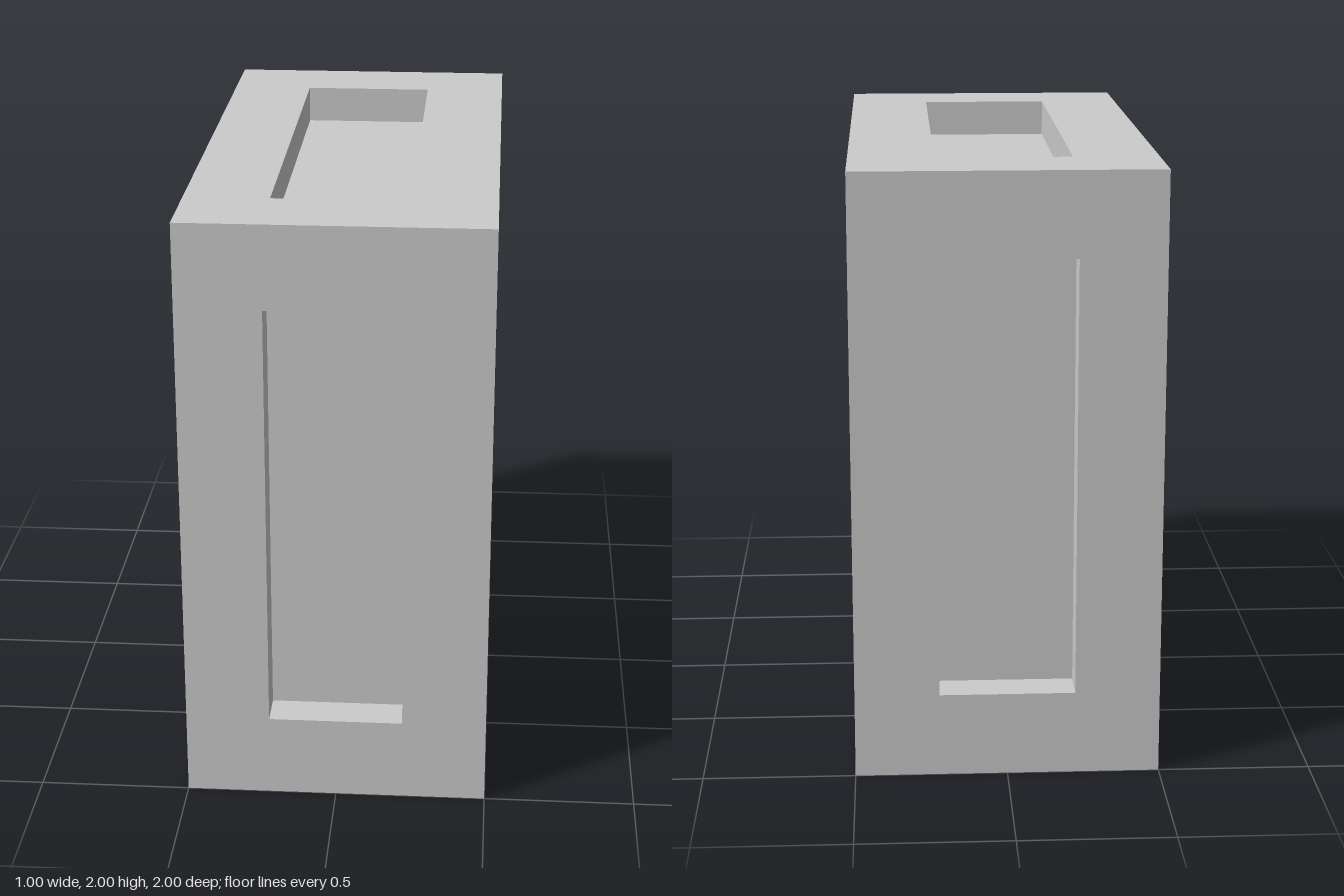
import * as THREE from 'three';
import { mergeGeometries } from 'three/addons/utils/BufferGeometryUtils.js';

const WIDTH = 1, HEIGHT = 2, LENGTH = 2;
const BORDER = 0.278; // frame width around each recess
const DEPTH = 0.125;  // recess depth

// Frame with a sunken rectangular floor, facing +z with its rim on z = 0
function recessedPanel(w, h) {
  const a = w / 2 - BORDER, b = h / 2 - BORDER;
  const rect = (Type, x, y) => new Type([
    new THREE.Vector2(-x, -y), new THREE.Vector2(x, -y),
    new THREE.Vector2(x, y), new THREE.Vector2(-x, y),
  ]);
  const frame = rect(THREE.Shape, w / 2, h / 2);
  frame.holes.push(rect(THREE.Path, a, b));

  const parts = [
    new THREE.ShapeGeometry(frame),
    new THREE.PlaneGeometry(2 * a, 2 * b).translate(0, 0, -DEPTH),
  ];
  // Recess walls, facing inwards
  for (const s of [-1, 1]) {
    parts.push(
      new THREE.PlaneGeometry(DEPTH, 2 * b).rotateY(-s * Math.PI / 2).translate(s * a, 0, -DEPTH / 2),
      new THREE.PlaneGeometry(2 * a, DEPTH).rotateX(s * Math.PI / 2).translate(0, s * b, -DEPTH / 2),
    );
  }
  return mergeGeometries(parts);
}

export function createModel() {
  const model = new THREE.Group();
  model.name = 'recessedBlock';
  const material = new THREE.MeshStandardMaterial({ color: 0xcccccc, flatShading: true });
  const q = Math.PI / 2;

  // name, panel width, panel height, distance from centre, x turn, y turn
  const panels = [
    ['frontPanel', WIDTH, HEIGHT, LENGTH / 2, 0, 0],
    ['backPanel', WIDTH, HEIGHT, LENGTH / 2, 0, 2 * q],
    ['leftPanel', LENGTH, HEIGHT, WIDTH / 2, 0, q],
    ['rightPanel', LENGTH, HEIGHT, WIDTH / 2, 0, -q],
    ['topPanel', WIDTH, LENGTH, HEIGHT / 2, -q, 0],
    ['bottomPanel', WIDTH, LENGTH, HEIGHT / 2, q, 0],
  ];
  for (const [name, w, h, distance, turnX, turnY] of panels) {
    const mesh = new THREE.Mesh(recessedPanel(w, h), material);
    mesh.name = name;
    mesh.rotation.set(turnX, turnY, 0);
    mesh.position.y = HEIGHT / 2;
    mesh.translateZ(distance);
    model.add(mesh);
  }
  return model;
}
